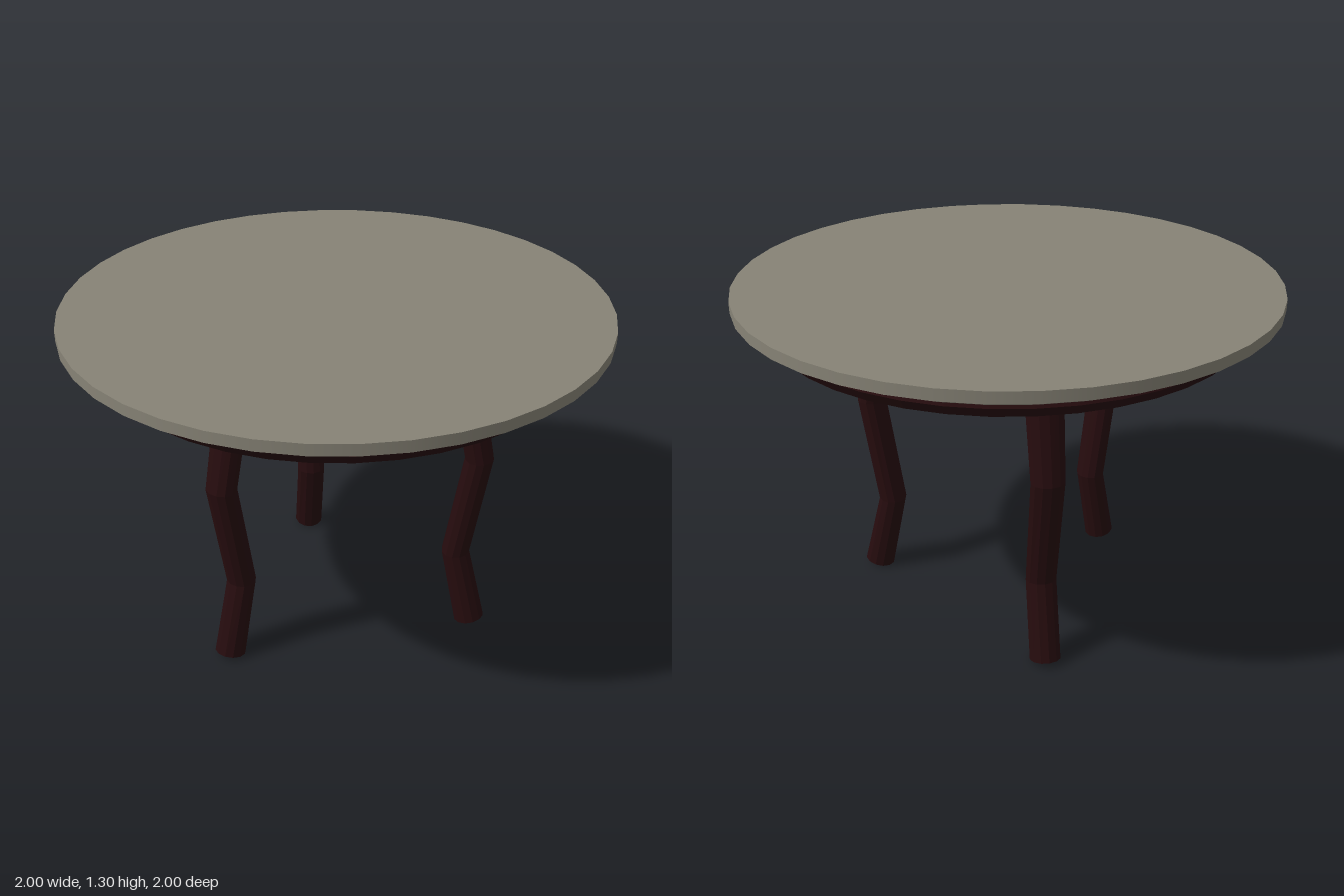
import * as THREE from 'three';

const SIDES = 12;

// Leg spine, foot to top: [outward, height, radial radius, sideways radius]
const LEG = [
  [0.56, 0.016, 0.06, 0.059],
  [0.49, 0.325, 0.054, 0.058],
  [0.56, 0.76, 0.054, 0.063],
  [0.495, 1.08, 0.057, 0.071],
  [0.345, 1.2, 0.057, 0.067],
];

// Sweeps mitred rings along the spine and closes both ends
function legGeometry() {
  const pos = [], index = [];
  const last = LEG.length - 1;
  const dir = (a, b) => new THREE.Vector2(LEG[b][0] - LEG[a][0], LEG[b][1] - LEG[a][1]).normalize();
  LEG.forEach(([out, y, rRadial, rSide], i) => {
    const t = new THREE.Vector2();
    if (i > 0) t.add(dir(i - 1, i));
    if (i < last) t.add(dir(i, i + 1));
    t.normalize();
    for (let j = 0; j < SIDES; j++) {
      const a = (j / SIDES) * Math.PI * 2;
      const r = Math.cos(a) * rRadial;
      pos.push(Math.sin(a) * rSide, y - t.x * r, out + t.y * r);
    }
  });
  for (let i = 0; i < last; i++) {
    for (let j = 0; j < SIDES; j++) {
      const k = (j + 1) % SIDES;
      const a = i * SIDES + j, b = i * SIDES + k;
      index.push(a, b, b + SIDES, a, b + SIDES, a + SIDES);
    }
  }
  const top = last * SIDES;
  for (let j = 1; j < SIDES - 1; j++) {
    index.push(0, j + 1, j, top, top + j, top + j + 1);
  }
  const g = new THREE.BufferGeometry();
  g.setAttribute('position', new THREE.Float32BufferAttribute(pos, 3));
  g.setIndex(index);
  const flat = g.toNonIndexed();
  flat.computeVertexNormals();
  return flat;
}

export function createModel() {
  const model = new THREE.Group();
  model.name = 'roundTable';
  const stone = new THREE.MeshStandardMaterial({ color: 0x878376 });
  stone.name = 'grey stone';
  const wood = new THREE.MeshStandardMaterial({ color: 0x260c0e });
  wood.name = 'dark wood';

  const add = (parent, name, geometry, material) => {
    const mesh = new THREE.Mesh(geometry, material);
    mesh.name = name;
    parent.add(mesh);
    return mesh;
  };

  // Table top: flat disc, straight rim and bevelled underside
  const top = new THREE.Group();
  top.name = 'tableTop';
  model.add(top);
  add(top, 'topSurface', new THREE.CircleGeometry(1, 40).rotateX(-Math.PI / 2), stone).position.y = 1.307;
  add(top, 'rim', new THREE.CylinderGeometry(1, 1, 0.042, 40, 1, true), stone).position.y = 1.286;
  add(top, 'rimBevel', new THREE.CylinderGeometry(1, 0.945, 0.027, 40, 1, true), stone).position.y = 1.2515;
  add(top, 'underside', new THREE.CircleGeometry(0.945, 40).rotateX(Math.PI / 2), stone).position.y = 1.238;

  // Hexagonal-section ring under the top
  const ring = new THREE.TorusGeometry(0.852, 0.041, 6, 40).rotateX(Math.PI / 2).toNonIndexed();
  ring.computeVertexNormals();
  add(model, 'supportRing', ring, wood).position.y = 1.2;

  // Three bent legs, evenly spaced
  const leg = legGeometry();
  [['leftLeg', 1], ['backLeg', 3], ['rightLeg', -1]].forEach(([name, k]) => {
    add(model, name, leg, wood).rotation.y = (k * Math.PI) / 3;
  });

  return model;
}
